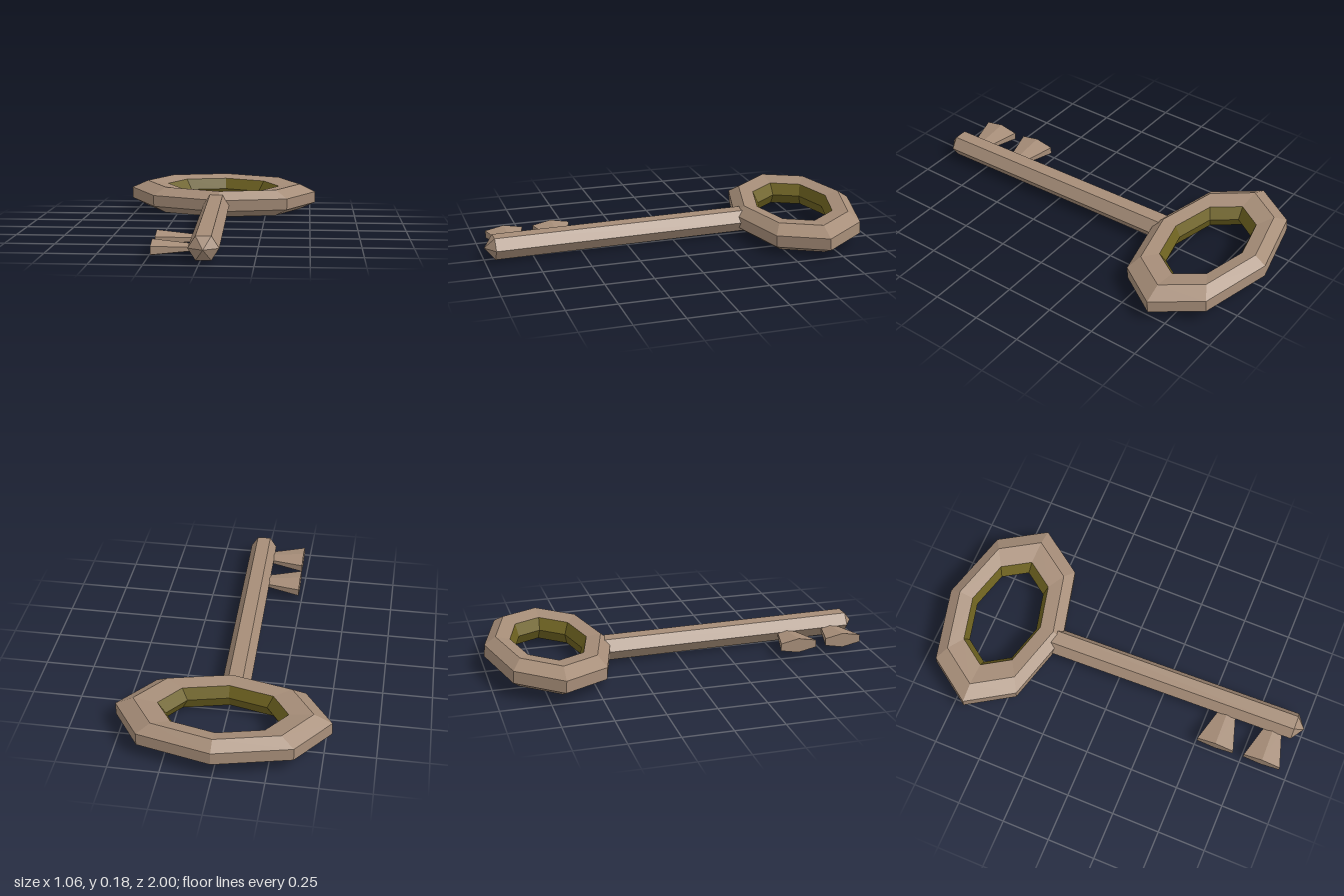
import * as THREE from 'three';

const material = (color) => new THREE.MeshStandardMaterial({ color, flatShading: true });

function addMesh(parent, name, geometry, mat) {
  const mesh = new THREE.Mesh(geometry, mat);
  mesh.name = name;
  parent.add(mesh);
  return mesh;
}

// Eight-sided oval band swept from a radius/height profile
function ovalBand(profile) {
  const points = profile.map(([r, y]) => new THREE.Vector2(r, y));
  return new THREE.LatheGeometry(points, 8).scale(1, 1, 0.614);
}

export function createModel() {
  const key = new THREE.Group();
  key.name = 'key';
  const bronze = material(0xa68d78);
  const olive = material(0x6e6220);

  // Bow: faceted oval ring, slightly tilted, with a darker inner rim
  const bow = new THREE.Group();
  bow.name = 'bow';
  bow.position.set(0, 0.093, -0.674);
  bow.rotation.set(0.065, -0.015, -0.013);
  key.add(bow);
  addMesh(bow, 'bowRing', ovalBand([
    [0.32, -0.058], [0.44, -0.073], [0.53, -0.031],
    [0.53, 0.031], [0.44, 0.073], [0.32, 0.058],
  ]), bronze);
  addMesh(bow, 'bowInnerRim', ovalBand([[0.32, 0.058], [0.28, 0], [0.32, -0.058]]), olive);

  // Shaft: hexagonal bar with a blunt pointed tip
  const shaft = new THREE.Group();
  shaft.name = 'shaft';
  shaft.position.set(0.02, 0.074, 0.95);
  shaft.rotation.y = 0.03;
  key.add(shaft);
  const hexAlongZ = (rTop, rBottom, length) =>
    new THREE.CylinderGeometry(rTop, rBottom, length, 6, 1, true)
      .rotateY(Math.PI / 2).rotateX(Math.PI / 2).scale(1, 0.9, 1);
  const bar = hexAlongZ(0.072, 0.072, 1.37);
  addMesh(shaft, 'shaftBar', bar, bronze).position.z = -0.685;
  addMesh(shaft, 'shaftTip', hexAlongZ(0, 0.072, 0.05), bronze).position.z = 0.025;
  const cap = new THREE.CircleGeometry(0.072, 6).scale(1, 0.9, 1).rotateY(Math.PI);
  addMesh(shaft, 'shaftEndCap', cap, bronze).position.z = -1.37;

  // Teeth: flattened hexagonal wedges flaring away from the shaft
  const toothShape = new THREE.CylinderGeometry(0.1126, 0.048, 0.2, 6)
    .rotateY(Math.PI / 2).rotateZ(Math.PI / 2).scale(1, 0.34, 1);
  [[-0.132, 0.603], [-0.123, 0.854]].forEach(([x, z], i) => {
    const tooth = addMesh(key, `tooth${i + 1}`, toothShape, bronze);
    tooth.position.set(x, 0.06, z);
    tooth.rotation.y = 0.02;
  });

  return key;
}
